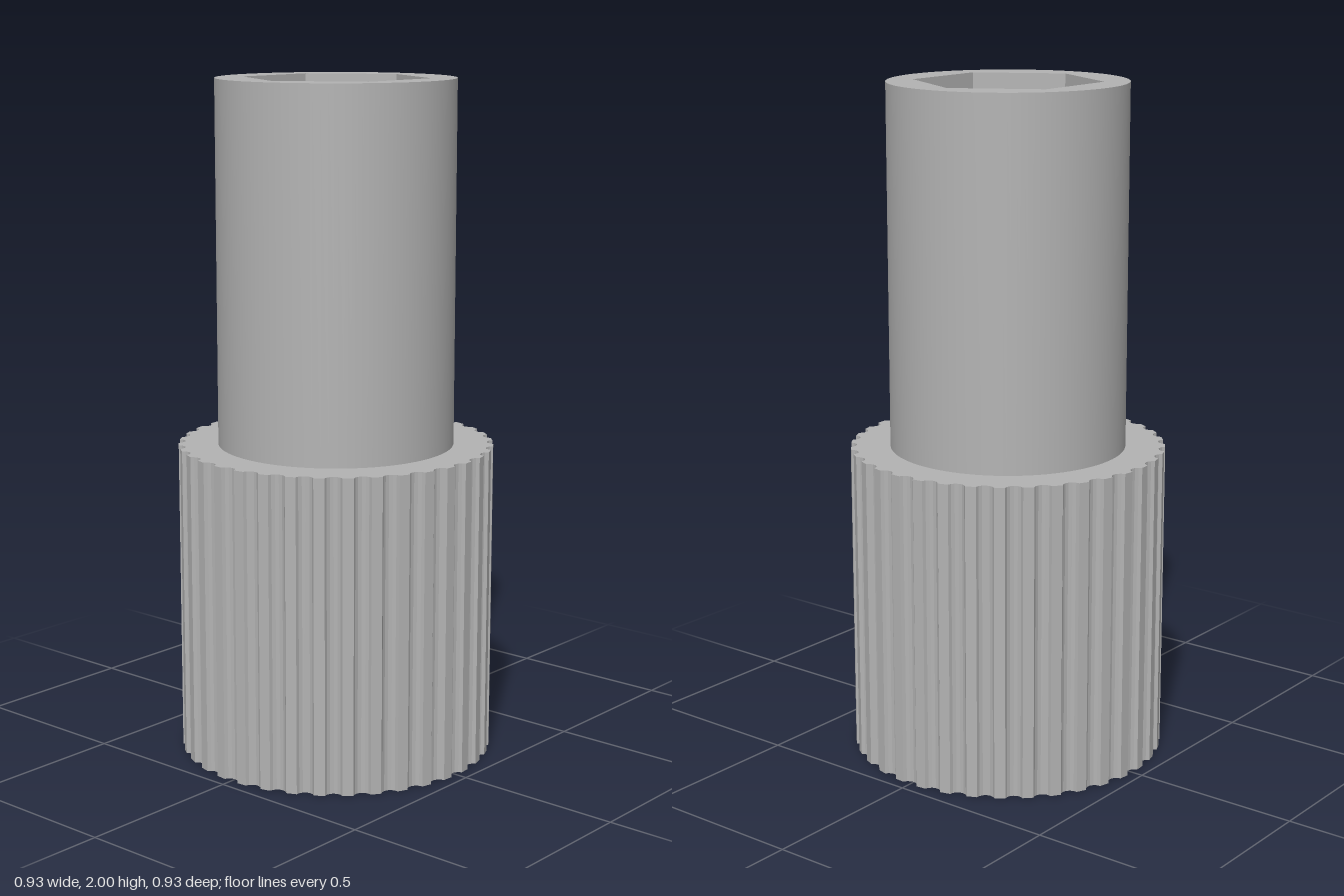
import * as THREE from 'three';

const SEG = 96;
const R_KNURL = 0.466, R_SHAFT = 0.349, R_BORE = 0.178, R_HEX = 0.275;
const Y_STEP = 0.93, Y_FLOOR = 1.865, Y_TOP = 2;

// Regular outline, counter-clockwise, first corner on +x
function ring(radius, n) {
  return Array.from({ length: n }, (_, i) => {
    const a = (i / n) * Math.PI * 2;
    return new THREE.Vector2(radius * Math.cos(a), radius * Math.sin(a));
  });
}

// Grip outline: 36 round-bottomed grooves separated by narrow lands
function knurlOutline() {
  const pts = [], count = 36, steps = 6, halfWidth = 0.025, depth = 0.018;
  const r = (halfWidth ** 2 + depth ** 2) / (2 * depth);
  const centre = R_KNURL - depth + r;
  const sweep = Math.asin(halfWidth / r);
  for (let i = 0; i < count; i++) {
    const a = (i / count) * Math.PI * 2;
    for (let j = 0; j <= steps; j++) {
      const t = sweep * ((2 * j) / steps - 1);
      const p = new THREE.Vector2(centre - r * Math.cos(t), r * Math.sin(t));
      pts.push(p.rotateAround(new THREE.Vector2(), a));
    }
  }
  return pts;
}

// Flat face with a hole, looking up or down
function cap(outer, inner, y, up = true) {
  const shape = new THREE.Shape(outer);
  shape.holes.push(new THREE.Path(inner));
  return new THREE.ShapeGeometry(shape).rotateX(up ? -Math.PI / 2 : Math.PI / 2).translate(0, y, 0);
}

// Faceted vertical wall around an outline; a reversed outline faces inward
function wall(pts, y0, y1) {
  const pos = [];
  pts.forEach((a, i) => {
    const b = pts[(i + 1) % pts.length];
    pos.push(a.x, y0, -a.y, b.x, y0, -b.y, b.x, y1, -b.y);
    pos.push(a.x, y0, -a.y, b.x, y1, -b.y, a.x, y1, -a.y);
  });
  const geo = new THREE.BufferGeometry();
  geo.setAttribute('position', new THREE.Float32BufferAttribute(pos, 3));
  geo.computeVertexNormals();
  return geo;
}

// Smooth round wall; running downward makes it face inward
function roundWall(radius, y0, y1) {
  return new THREE.LatheGeometry([new THREE.Vector2(radius, y0), new THREE.Vector2(radius, y1)], SEG);
}

export function createModel() {
  const model = new THREE.Group();
  model.name = 'knurledSocket';
  const steel = new THREE.MeshStandardMaterial({ color: 0xb3b3b3 });
  steel.name = 'grey';

  const add = (name, geo) => {
    const mesh = new THREE.Mesh(geo, steel);
    mesh.name = name;
    model.add(mesh);
  };

  const knurl = knurlOutline();
  const shaft = ring(R_SHAFT, SEG);
  const bore = ring(R_BORE, SEG);
  const hex = ring(R_HEX, 6);

  // Knurled grip
  add('gripWall', wall(knurl, 0, Y_STEP));
  add('gripBottom', cap(knurl, bore, 0, false));
  add('gripShoulder', cap(knurl, shaft, Y_STEP));

  // Shaft
  add('shaftWall', roundWall(R_SHAFT, Y_STEP, Y_TOP));
  add('shaftRim', cap(shaft, hex, Y_TOP));

  // Hexagonal recess and through bore
  add('hexRecessWall', wall([...hex].reverse(), Y_FLOOR, Y_TOP));
  add('hexRecessFloor', cap(hex, bore, Y_FLOOR));
  add('boreWall', roundWall(R_BORE, Y_FLOOR, 0));

  return model;
}
